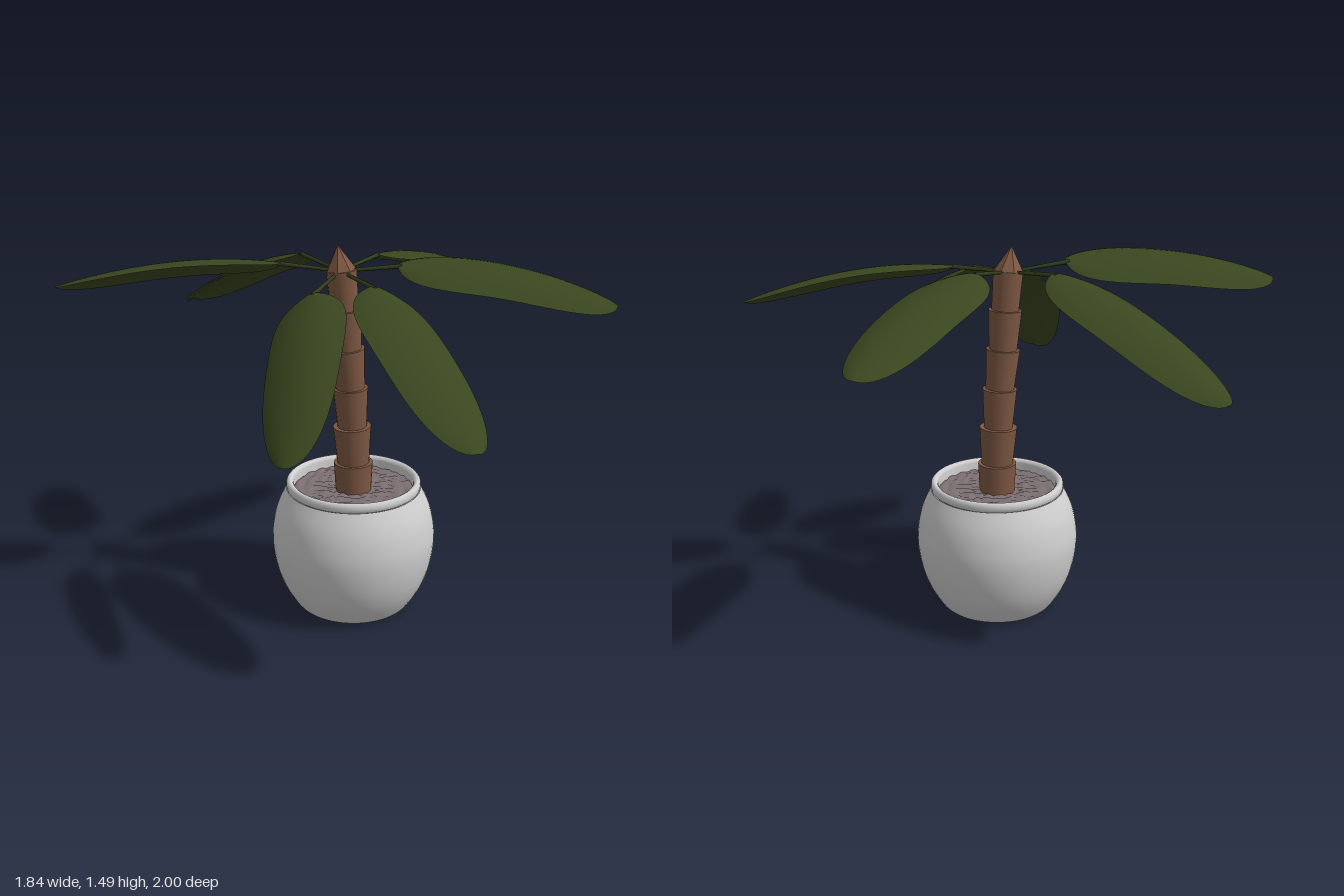
import * as THREE from 'three';

const V = (x, y, z) => new THREE.Vector3(x, y, z);
const mat = (name, color, side = THREE.FrontSide) => {
  const m = new THREE.MeshStandardMaterial({ color, side });
  m.name = name;
  return m;
};

// Cylinder running between two points
function rod(a, b, rA, rB, sides, material, name) {
  const dir = b.clone().sub(a);
  const mesh = new THREE.Mesh(new THREE.CylinderGeometry(rB, rA, dir.length(), sides), material);
  mesh.position.copy(a).lerp(b, 0.5);
  mesh.quaternion.setFromUnitVectors(V(0, 1, 0), dir.normalize());
  mesh.name = name;
  return mesh;
}

// Arched, cambered oval blade swept from base to tip, rolled about its spine
function bladeGeometry(base, tip, bulge, halfWidth, roll) {
  const rows = 28, cols = 10, pos = [], index = [];
  const mid = base.clone().lerp(tip, 0.45);
  mid.y += bulge * 2;
  const spine = new THREE.QuadraticBezierCurve3(base, mid, tip);
  const level = V(tip.z - base.z, 0, base.x - tip.x).normalize();
  for (let i = 0; i <= rows; i++) {
    // Rows bunch up at both ends so they round off smoothly
    const t = (1 - Math.cos((Math.PI * i) / rows)) / 2;
    const p = spine.getPoint(t), along = spine.getTangent(t);
    const across = level.clone().applyAxisAngle(along, roll);
    const up = along.cross(across).normalize();
    const oval = Math.sqrt(Math.max(0, 1 - Math.abs(2 * t - 1) ** 3));
    const w = halfWidth * (1.04 - 0.12 * t) * oval;
    for (let j = 0; j <= cols; j++) {
      const v = (2 * j) / cols - 1;
      const q = p.clone().addScaledVector(across, v * w).addScaledVector(up, -0.28 * w * v * v);
      pos.push(q.x, q.y, q.z);
      if (i < rows && j < cols) {
        const a = i * (cols + 1) + j, b = a + cols + 1;
        index.push(a, b, a + 1, b, b + 1, a + 1);
      }
    }
  }
  const g = new THREE.BufferGeometry();
  g.setAttribute('position', new THREE.Float32BufferAttribute(pos, 3));
  g.setIndex(index);
  g.computeVertexNormals();
  return g;
}

export function createModel() {
  const model = new THREE.Group();
  model.name = 'pottedPlant';
  const ceramic = mat('ceramic', 0xcecece, THREE.DoubleSide);
  const soilMat = mat('soil', 0x7c6f72);
  const bark = mat('bark', 0x7e5843);
  const leafMat = mat('leafGreen', 0x3a461f, THREE.DoubleSide);
  const stemMat = mat('stemGreen', 0x323d1c);
  const potZ = 0.057;

  // Pot body
  const profile = new THREE.SplineCurve([
    [0.215, 0.002], [0.24, 0.02], [0.287, 0.1], [0.317, 0.19], [0.33, 0.29],
    [0.323, 0.37], [0.304, 0.44], [0.27, 0.51],
  ].map(([r, y]) => new THREE.Vector2(r, y))).getPoints(32);
  const pot = new THREE.Mesh(new THREE.LatheGeometry(profile, 64), ceramic);
  pot.name = 'potBody';
  const bottom = new THREE.Mesh(new THREE.CircleGeometry(0.215, 64).rotateX(Math.PI / 2), ceramic);
  bottom.name = 'potBottom';
  bottom.position.y = 0.002;

  // Rolled rim with inner wall
  const rimPoints = [
    [0.25, 0.505], [0.262, 0.506], [0.269, 0.512], [0.271, 0.525], [0.269, 0.538],
    [0.262, 0.545], [0.255, 0.546], [0.246, 0.541], [0.24, 0.53], [0.24, 0.46],
  ].map(([r, y]) => new THREE.Vector2(r, y));
  const rim = new THREE.Mesh(new THREE.LatheGeometry(rimPoints, 64), ceramic);
  rim.name = 'potRim';

  // Lumpy soil
  const soilGeo = new THREE.RingGeometry(0.01, 0.245, 64, 20).rotateX(-Math.PI / 2);
  const sp = soilGeo.attributes.position;
  for (let i = 0; i < sp.count; i++) {
    const x = sp.getX(i), z = sp.getZ(i);
    const wave = Math.sin(47 * x + 3 * Math.sin(31 * z)) * Math.cos(43 * z + 2 * Math.sin(37 * x));
    sp.setY(i, 0.012 * Math.sqrt(Math.abs(wave)));
  }
  soilGeo.computeVertexNormals();
  const soil = new THREE.Mesh(soilGeo, soilMat);
  soil.name = 'soil';
  soil.position.y = 0.493;

  const planter = new THREE.Group();
  planter.name = 'planter';
  planter.position.z = potZ;
  planter.add(pot, bottom, rim, soil);
  model.add(planter);

  // Trunk of flared, stacked segments: x, y, z, top radius, bottom radius
  const trunk = new THREE.Group();
  trunk.name = 'trunk';
  const joints = [
    [-0.001, 0.47, 0.058], [-0.002, 0.617, 0.058, 0.078, 0.07], [-0.007, 0.77, 0.056, 0.076, 0.064],
    [-0.014, 0.93, 0.054, 0.069, 0.058], [-0.028, 1.09, 0.05, 0.068, 0.057],
    [-0.038, 1.247, 0.048, 0.066, 0.056], [-0.051, 1.4, 0.044, 0.059, 0.054],
  ];
  for (let i = 1; i < joints.length; i++) {
    const [ax, ay, az] = joints[i - 1], [bx, by, bz, top, low] = joints[i];
    trunk.add(rod(V(ax, ay, az), V(bx, by, bz), low, top, 20, bark, 'trunkSegment'));
  }

  // Pointed bud on top
  const budGeo = new THREE.ConeGeometry(0.06, 0.1, 7).toNonIndexed();
  budGeo.computeVertexNormals();
  const bud = new THREE.Mesh(budGeo, bark);
  bud.name = 'trunkTip';
  bud.position.set(-0.06, 1.446, 0.041);
  bud.rotation.z = 0.14;
  trunk.add(bud);
  model.add(trunk);

  // Leaves: base, tip, arch height, half width, roll
  const crown = V(-0.056, 1.395, 0.042);
  const leaves = [
    [V(-0.042, 1.425, -0.2), V(-0.055, 1.09, -1.0), 0.04, 0.145, 0.1],
    [V(0.155, 1.425, 0.005), V(0.915, 1.215, -0.22), 0.045, 0.142, -0.1],
    [V(0.1, 1.42, 0.19), V(0.69, 1.28, 0.76), 0.05, 0.143, 0.27],
    [V(-0.09, 1.385, 0.27), V(-0.285, 1.01, 1.0), 0.04, 0.147, -0.1],
    [V(-0.255, 1.36, 0.13), V(-0.675, 0.905, 0.505), 0.07, 0.145, 0.3],
    [V(-0.235, 1.43, -0.085), V(-0.905, 1.345, -0.6), 0.045, 0.145, 0.33],
  ];
  for (const [base, tip, bulge, width, roll] of leaves) {
    const leaf = new THREE.Group();
    leaf.name = 'leaf';
    const blade = new THREE.Mesh(bladeGeometry(base, tip, bulge, width, roll), leafMat);
    blade.name = 'leafBlade';
    leaf.add(blade, rod(crown, base.clone().lerp(tip, 0.02), 0.006, 0.009, 8, stemMat, 'leafStem'));
    model.add(leaf);
  }
  return model;
}
